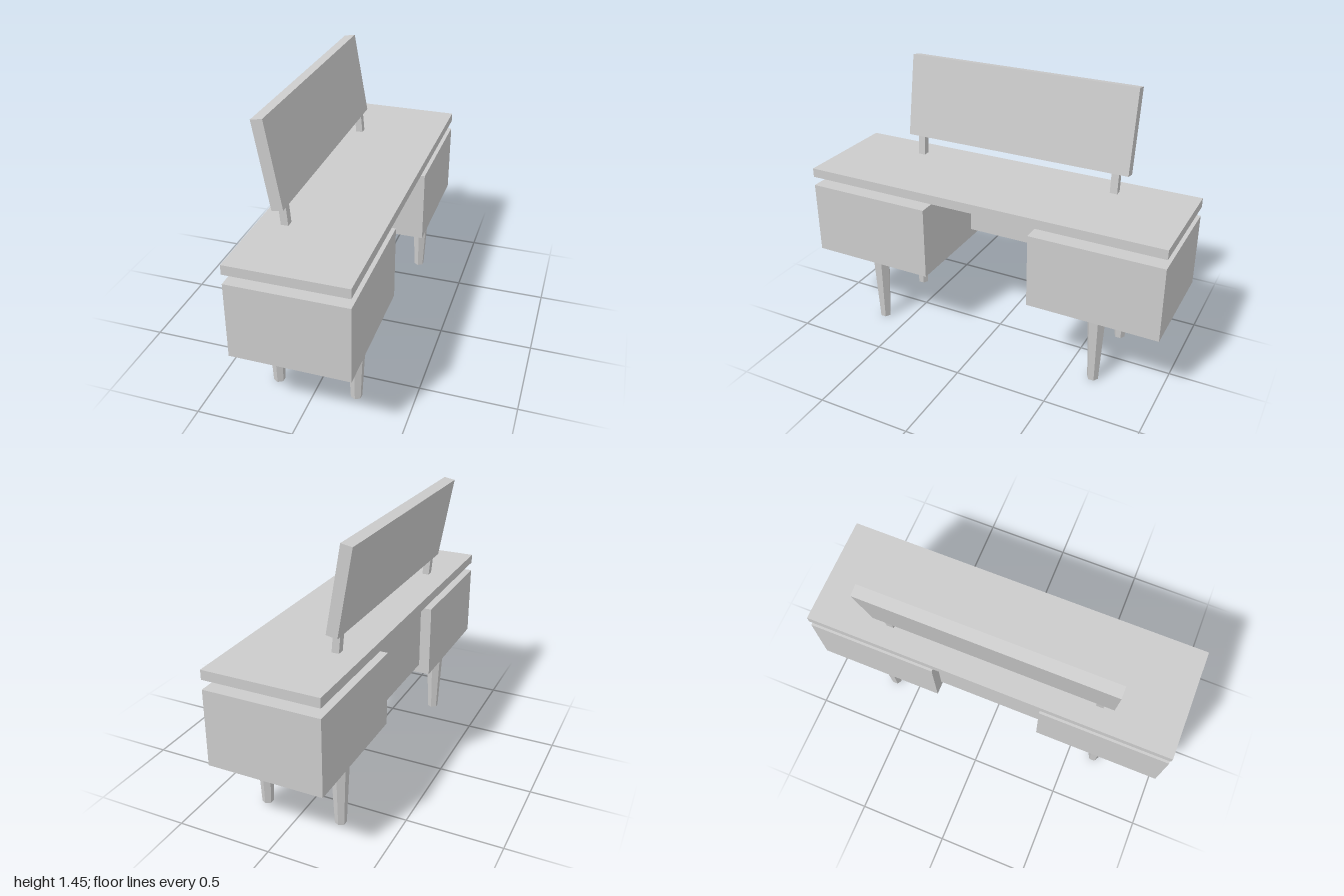
import * as THREE from 'three';

export function createModel() {
  const group = new THREE.Group();
  const material = new THREE.MeshStandardMaterial({ color: 0xcccccc, flatShading: true });

  const add = (name, geometry, x, y, z, tilt = 0) => {
    const mesh = new THREE.Mesh(geometry, material);
    mesh.name = name;
    mesh.position.set(x, y, z);
    mesh.rotation.z = THREE.MathUtils.degToRad(tilt);
    group.add(mesh);
  };
  const box = (w, h, d) => new THREE.BoxGeometry(w, h, d);

  // Table top and the back panel that joins the two cabinets
  add('tableTop', box(0.6, 0.05, 2), 0, 0.875, 0);
  add('backPanel', box(0.03, 0.4, 1.3), -0.225, 0.65, 0);

  // Leaning mirror
  add('mirror', box(0.06, 0.45, 1.3), -0.212, 1.226, 0, 10);

  for (const side of [1, -1]) {
    const end = side > 0 ? 'front' : 'back';
    add(end + 'Cabinet', box(0.6, 0.4, 0.7), 0, 0.6, side * 0.65);

    // Rail holding the top above the cabinet
    add(end + 'SpacerRail', box(0.45, 0.05, 0.04), -0.015, 0.825, side * 0.65);

    // Short mirror post, sunk into the top and the mirror
    add(end + 'MirrorPost', box(0.038, 0.15, 0.04), -0.168, 0.95, side * 0.577, 5);

    // Tapered six-sided legs
    for (const x of [-0.21, 0.21]) {
      add(end + (x > 0 ? 'Left' : 'Right') + 'Leg',
        new THREE.CylinderGeometry(0.049, 0.03, 0.4, 6), x, 0.2, side * 0.65);
    }
  }
  return group;
}
